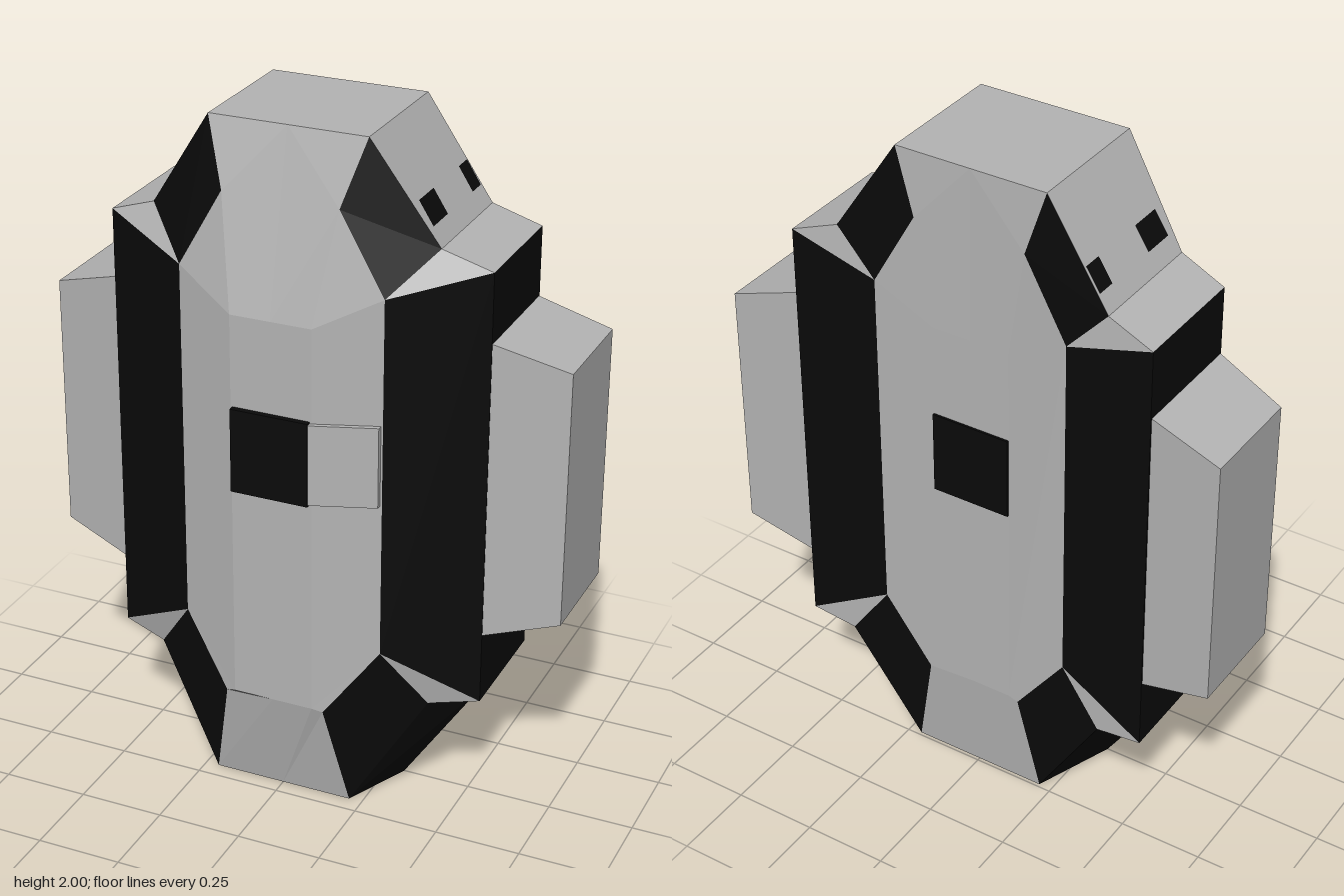
import * as THREE from 'three';

const grey = new THREE.MeshStandardMaterial({ color: 0xb4b4b4 });
grey.name = 'light grey';
const black = new THREE.MeshStandardMaterial({ color: 0x0a0a0a });
black.name = 'black';

// Corner points of one half of the hull: x, y, front z, back z
const P = {
  topMid: [0, 2, 0.15, -0.25], top: [0.23, 2, 0.15, -0.25],
  brow: [0.17, 1.81, 0.2, -0.26],
  ridgeTopMid: [0, 1.49, 0.265, -0.26], ridgeTop: [0.12, 1.49, 0.265, -0.26],
  seamTop: [0.3, 1.58, 0.2, -0.265],
  notchTop: [0.42, 1.71, 0.11, -0.26], shoulder: [0.56, 1.66, 0.09, -0.275],
  hip: [0.56, 0.36, 0.09, -0.275], notchLow: [0.42, 0.34, 0.13, -0.27],
  seamLow: [0.3, 0.51, 0.2, -0.265],
  ridgeLow: [0.12, 0.32, 0.265, -0.265], ridgeLowMid: [0, 0.32, 0.265, -0.265],
  chin: [0.15, 0.31, 0.255, -0.265],
  base: [0.21, 0, 0.2, -0.24], baseMid: [0, 0, 0.2, -0.24],
  baseSide: [0.3, 0, 0, 0], hipSide: [0.52, 0.33, 0, 0],
};
const front = (n) => [P[n][0], P[n][1], P[n][2]];
const back = (n) => [P[n][0], P[n][1], P[n][3]];

// Flat-shaded mesh from convex polygons, repeated on both sides of x = 0
function mirroredFaces(name, polygons, material) {
  const pos = [];
  for (const side of [1, -1]) {
    for (const poly of polygons) {
      const pts = poly.map(([x, y, z]) => [x * side, y, z]);
      if (side < 0) pts.reverse();
      for (let i = 1; i < pts.length - 1; i++) pos.push(...pts[0], ...pts[i], ...pts[i + 1]);
    }
  }
  const geo = new THREE.BufferGeometry();
  geo.setAttribute('position', new THREE.Float32BufferAttribute(pos, 3));
  geo.computeVertexNormals();
  const mesh = new THREE.Mesh(geo, material);
  mesh.name = name;
  return mesh;
}

// The same polygons on the front and, reversed, on the back
const bothFaces = (list) => list.flatMap((names) => [names.map(front), names.map(back).reverse()]);

function add(group, name, geo, material) {
  const mesh = new THREE.Mesh(geo, material);
  mesh.name = name;
  group.add(mesh);
  return mesh;
}

export function createModel() {
  const model = new THREE.Group();
  model.name = 'armouredHull';

  // Grey centre panels and corner notches
  model.add(mirroredFaces('centrePanels', bothFaces([
    ['baseMid', 'base', 'chin', 'ridgeLow', 'ridgeLowMid'],
    ['chin', 'seamLow', 'ridgeLow'],
    ['ridgeLowMid', 'ridgeLow', 'ridgeTop', 'ridgeTopMid'],
    ['ridgeLow', 'seamLow', 'seamTop', 'ridgeTop'],
    ['ridgeTop', 'seamTop', 'brow'],
    ['ridgeTopMid', 'ridgeTop', 'brow', 'topMid'],
    ['brow', 'top', 'topMid'],
    ['seamLow', 'notchLow', 'hip'],
    ['seamTop', 'shoulder', 'notchTop'],
  ]), grey));

  // Black vertical bands, corner panels and lower flanks
  model.add(mirroredFaces('darkBands', bothFaces([
    ['seamLow', 'hip', 'shoulder', 'seamTop'],
    ['base', 'notchLow', 'seamLow', 'chin'],
    ['brow', 'seamTop', 'notchTop', 'top'],
    ['base', 'baseSide', 'hipSide', 'notchLow'],
    ['notchLow', 'hipSide', 'hip'],
  ]), black));

  // Black torso sides
  model.add(mirroredFaces('torsoSides', [
    [front('hip'), back('hip'), back('shoulder'), front('shoulder')],
    [front('hipSide'), back('hip'), front('hip')],
  ], black));

  // Grey top, shoulders, upper slopes and underside
  model.add(mirroredFaces('endCaps', [
    [front('shoulder'), back('shoulder'), back('notchTop'), front('notchTop')],
    [front('notchTop'), back('notchTop'), back('top'), front('top')],
    [front('topMid'), front('top'), back('top'), back('topMid')],
    [front('baseMid'), back('baseMid'), back('base'), front('baseSide'), front('base')],
  ], grey));

  // Small dark patches on the upper slopes
  const patch = (z0, z1) => [[0.388, 1.76, z0], [0.388, 1.76, z1], [0.346, 1.826, z1], [0.346, 1.826, z0]];
  model.add(mirroredFaces('slopePatches', [patch(0.09, -0.01), patch(-0.19, -0.25)], black));

  // Side pods, tapering outwards
  for (const side of [1, -1]) {
    const geo = new THREE.BoxGeometry(1, 1, 1).toNonIndexed();
    const p = geo.attributes.position;
    for (let i = 0; i < p.count; i++) {
      const outer = p.getX(i) * side > 0;
      const up = p.getY(i) > 0, ahead = p.getZ(i) > 0;
      p.setXYZ(i,
        side * (outer ? 0.77 : 0.55),
        up ? (outer ? 1.39 : 1.46) : (outer ? 0.63 : 0.57),
        ahead ? (outer ? 0.04 : 0.09) : (outer ? -0.285 : -0.27));
    }
    geo.computeVertexNormals();
    add(model, side > 0 ? 'leftPod' : 'rightPod', geo, grey);
  }

  // Dark square block on the front and matching plate on the back
  add(model, 'frontSquare', new THREE.BoxGeometry(0.23, 0.25, 0.05), black).position.set(0, 1.095, 0.257);
  add(model, 'backSquare', new THREE.BoxGeometry(0.24, 0.25, 0.008), black).position.set(0, 1.09, -0.264);

  // Raised sloping ledge beside the front square
  const ledge = new THREE.Shape([[0.11, 0.19], [0.295, 0.19], [0.295, 0.217], [0.115, 0.28]]
    .map(([x, z]) => new THREE.Vector2(x, z)));
  const ledgeGeo = new THREE.ExtrudeGeometry(ledge, { depth: 0.24, bevelEnabled: false });
  ledgeGeo.rotateX(Math.PI / 2).translate(0, 1.215, 0);
  add(model, 'sideLedge', ledgeGeo, grey);

  return model;
}
